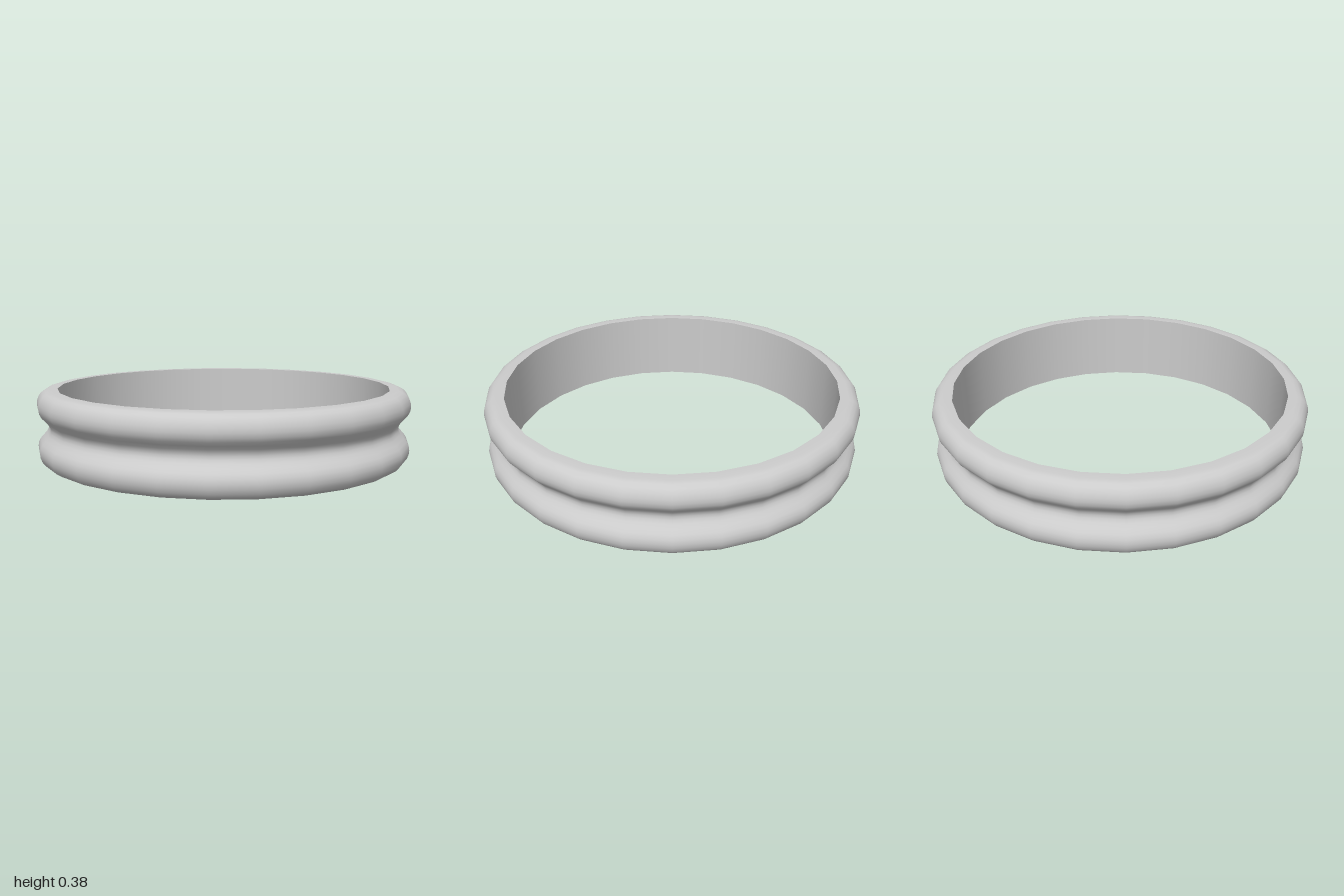
import * as THREE from 'three';

const SIDES = 28;
const HEIGHT = 0.385;
const INNER = 0.89;

export function createModel() {
  const group = new THREE.Group();
  group.name = 'ring';
  const material = new THREE.MeshStandardMaterial({ color: 0xcccccc });

  const addLathe = (name, points) => {
    const mesh = new THREE.Mesh(new THREE.LatheGeometry(points, SIDES), material);
    mesh.name = name;
    group.add(mesh);
  };

  // Lower half of the outer profile: flat rim, rounded corner, bulge, groove
  const half = [
    [INNER, 0], [0.935, 0], [0.957, 0.006], [0.976, 0.018], [0.99, 0.037],
    [0.998, 0.06], [1, 0.082], [0.996, 0.104], [0.985, 0.124], [0.968, 0.143],
    [0.952, 0.161], [0.943, 0.177], [0.94, HEIGHT / 2],
  ].map(([r, y]) => new THREE.Vector2(r, y));

  // Mirror it upwards for the second bulge
  const upper = half.slice(0, -1).reverse().map((p) => new THREE.Vector2(p.x, HEIGHT - p.y));
  addLathe('groovedOuterBand', [...half, ...upper]);

  // Straight inner wall, separate so its edges stay sharp
  addLathe('innerWall', [new THREE.Vector2(INNER, HEIGHT), new THREE.Vector2(INNER, 0)]);

  return group;
}
